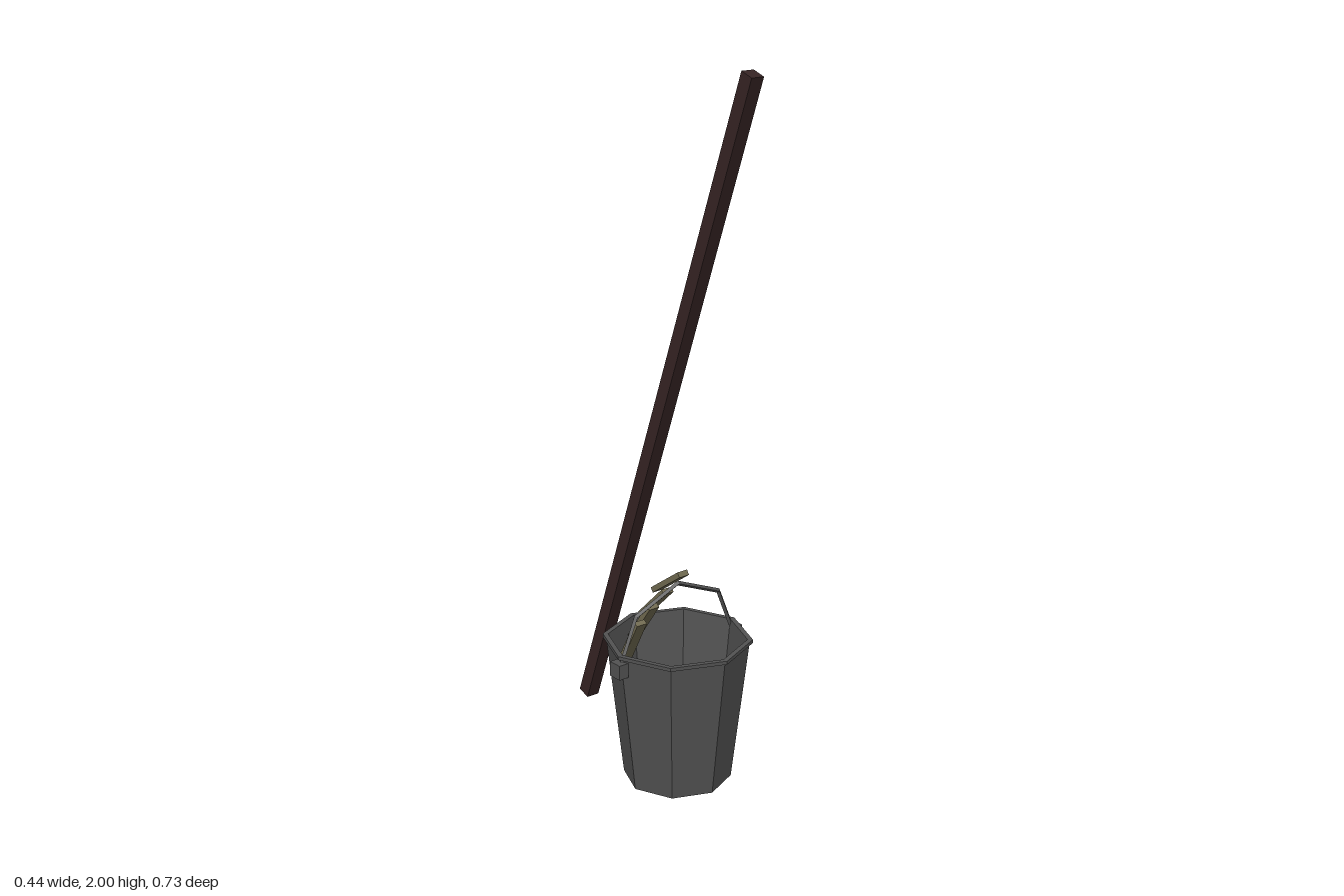
import * as THREE from 'three';

const mat = (name, color) => {
  const m = new THREE.MeshStandardMaterial({ color, flatShading: true });
  m.name = name;
  return m;
};

export function createModel() {
  const model = new THREE.Group();
  model.name = 'bucketAndPole';
  const metal = mat('dark grey metal', 0x525252);
  const darkWood = mat('dark brown wood', 0x362424);
  const paleWood = mat('olive wood', 0x716b51);

  const add = (parent, name, geometry, material, x, y, z, rx = 0) => {
    const mesh = new THREE.Mesh(geometry, material);
    mesh.name = name;
    mesh.position.set(x, y, z);
    mesh.rotation.x = rx;
    parent.add(mesh);
    return mesh;
  };
  const rad = THREE.MathUtils.degToRad;

  // Eight-sided bucket: base, outer wall, lip, inner wall and floor in one profile
  const bucket = new THREE.Group();
  bucket.name = 'bucket';
  bucket.position.z = 0.067;
  model.add(bucket);
  const profile = [
    [0, 0], [0.152, 0], [0.2, 0.41], [0.209, 0.41], [0.209, 0.42],
    [0.194, 0.42], [0.154, 0.05], [0, 0.05],
  ].map(([r, y]) => new THREE.Vector2(r, y));
  add(bucket, 'bucketShell', new THREE.LatheGeometry(profile, 8), metal, 0, 0, 0);

  // Faceted carrying handle and the lugs that hold it
  add(bucket, 'handle', new THREE.TorusGeometry(0.208, 0.007, 4, 4, Math.PI), metal, 0, 0.372, 0);
  for (const side of [-1, 1]) {
    add(bucket, side > 0 ? 'leftLug' : 'rightLug',
      new THREE.BoxGeometry(0.03, 0.042, 0.042), metal, side * 0.206, 0.381, 0);
  }

  // Long square pole leaning forward at the top
  add(model, 'pole', new THREE.BoxGeometry(0.04, 2.013, 0.04), darkWood, 0, 1.0475, 0, rad(20));

  // Fanned wooden slats: x, y, z, tilt in degrees
  const slats = [
    [-0.087, 0.402, -0.0225, 62],
    [-0.029, 0.436, -0.048, 54],
    [0.028, 0.474, -0.0635, 44],
    [0.086, 0.519, -0.0715, 35],
  ];
  slats.forEach(([x, y, z, tilt], i) => {
    add(model, `slat${i + 1}`, new THREE.BoxGeometry(0.035, 0.016, 0.145), paleWood, x, y, z, -rad(tilt));
  });

  return model;
}
